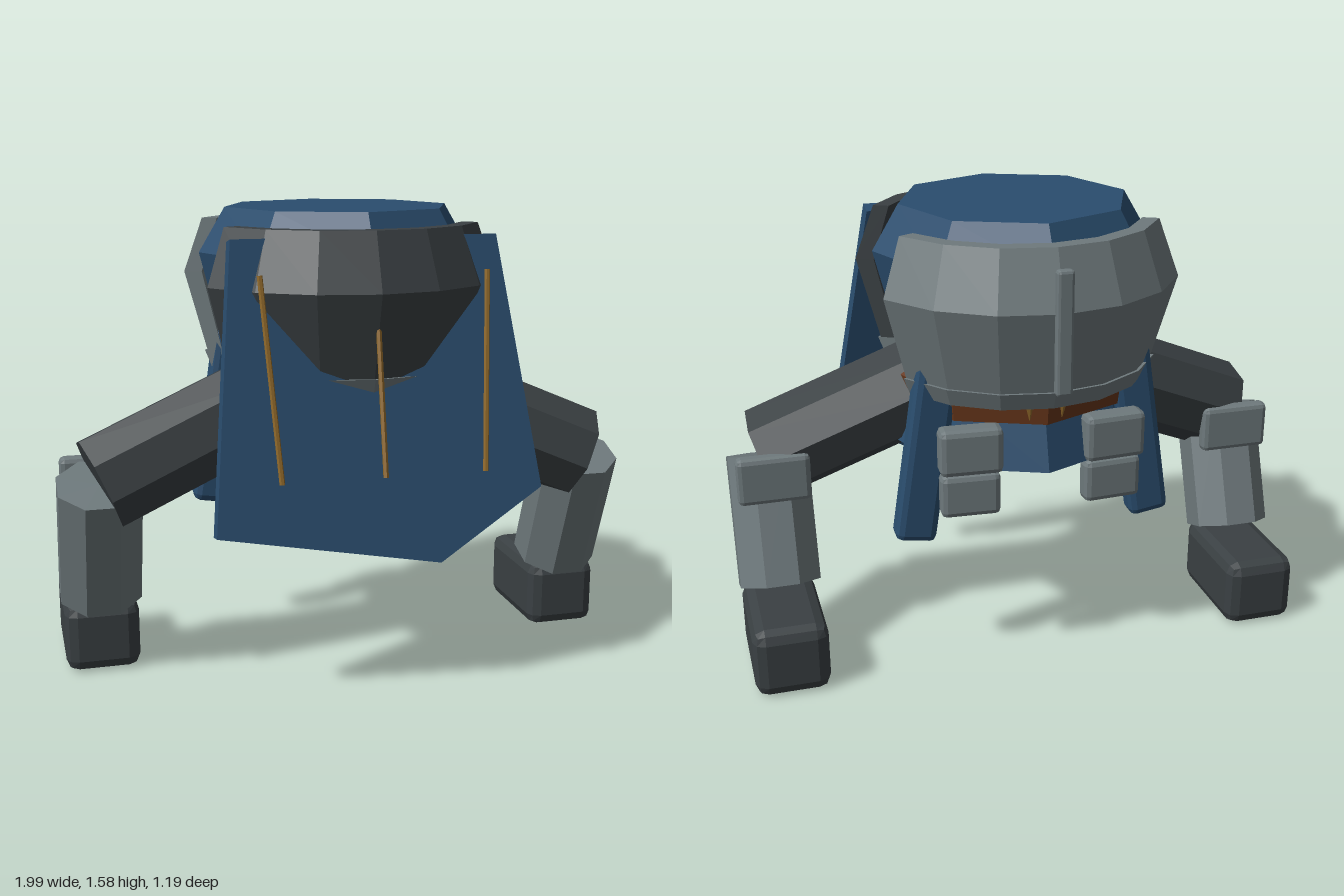
import * as THREE from 'three';
import { RoundedBoxGeometry } from 'three/addons/geometries/RoundedBoxGeometry.js';

const mat = (color) => new THREE.MeshStandardMaterial({ color, flatShading: true, side: THREE.DoubleSide });
const V = (x, y, z) => new THREE.Vector3(x, y, z);

export function createModel() {
  const root = new THREE.Group();
  const blue = mat(0x2a4d6e), dark = mat(0x3a4043), steel = mat(0x6e797c);
  const gold = mat(0x8f682a), brown = mat(0x66361a);
  const midZ = -0.02; // torso axis

  function add(name, geometry, material, x = 0, y = 0, z = 0, parent = root) {
    const mesh = new THREE.Mesh(geometry, material);
    mesh.name = name;
    mesh.position.set(x, y, z);
    parent.add(mesh);
    return mesh;
  }

  // Box with chamfered edges
  const chamferBox = (w, h, d, c) => new RoundedBoxGeometry(w, h, d, 1, c);

  // Straight faceted rod between two points
  function rod(name, a, b, radius, sides, material, phase = 0) {
    const dir = b.clone().sub(a);
    const geo = new THREE.CylinderGeometry(radius, radius, dir.length(), sides).rotateY(phase);
    const mesh = add(name, geo, material);
    mesh.position.copy(a).add(b).multiplyScalar(0.5);
    mesh.quaternion.setFromUnitVectors(V(0, 1, 0), dir.normalize());
    return mesh;
  }

  const lathe = (points, sides, start, length) =>
    new THREE.LatheGeometry(points.map(([r, y]) => new THREE.Vector2(r, y)), sides, start, length);

  // Curved plate: closed profile swept through an arc, with capped ends
  function plate(name, profile, facing, material) {
    const half = THREE.MathUtils.degToRad(63);
    const group = new THREE.Group();
    group.name = name;
    group.position.z = midZ;
    root.add(group);
    add(name + 'Shell', lathe([...profile, profile[0]], 6, facing - half, half * 2), material, 0, 0, 0, group);
    const section = new THREE.Shape(profile.map(([r, y]) => new THREE.Vector2(r, y)));
    for (const s of [-1, 1]) {
      const cap = new THREE.ShapeGeometry(section).rotateY(facing + s * half - Math.PI / 2);
      add(name + 'End', cap, material, 0, 0, 0, group);
    }
  }

  // Torso with flared skirt, and belt
  const torso = lathe([[0, 0.76], [0.425, 0.76], [0.365, 0.98], [0.48, 1.43], [0.39, 1.58], [0, 1.58]], 8);
  add('torso', torso, blue, 0, 0, midZ);
  const belt = lathe([[0.33, 0.9], [0.4, 0.92], [0.41, 1.0], [0.35, 1.04]], 8);
  add('belt', belt, brown, 0, 0, midZ);

  // Chest and back armour, each with a lower rim
  const shell = [[0.42, 1.06], [0.475, 1.06], [0.555, 1.34], [0.485, 1.53], [0.43, 1.53], [0.49, 1.34]];
  const rim = [[0.41, 1.0], [0.46, 1.0], [0.485, 1.06], [0.42, 1.06]];
  plate('chestPlate', shell, 0, dark);
  plate('chestRim', rim, 0, steel);
  plate('backPlate', shell, Math.PI, steel);
  plate('backRim', rim, Math.PI, steel);
  add('backBar', chamferBox(0.055, 0.4, 0.036, 0.01), steel, 0, 1.28, -0.575);

  // Slanted front apron
  const outline = [[-0.44, 1.5], [-0.53, 0.59], [0.2, 0.46], [0.56, 0.68], [0.44, 1.5]];
  const tilt = 0.196;
  const apronShape = new THREE.Shape(
    outline.map(([x, y]) => new THREE.Vector2(x, (y - 1.5) / Math.cos(tilt))));
  const apron = add('apron',
    new THREE.ExtrudeGeometry(apronShape, { depth: 0.066, bevelEnabled: false }), blue, 0, 1.49, 0.285);
  apron.rotation.x = -tilt;

  // Cords hanging in front of the apron
  for (const s of [-1, 1]) {
    rod('sideCord', V(s * 0.37, 1.4, 0.46), V(s * 0.333, 0.77, 0.587), 0.009, 6, gold);
  }
  rod('centreCord', V(0, 1.24, 0.492), V(0, 0.77, 0.587), 0.009, 6, gold);

  for (const s of [-1, 1]) {
    // Leg
    const knee = V(s * 0.855, 0.69, 0.14);
    rod('thigh', V(s * 0.3, 0.925, 0.07), knee, 0.168, 8, dark);
    rod('shin', knee, V(s * 0.855, 0.265, -0.02), 0.149, 8, steel, Math.PI / 8);
    add('kneeGuard', chamferBox(0.25, 0.17, 0.06, 0.018), steel, s * 0.85, 0.665, -0.025);
    add('foot', chamferBox(0.255, 0.245, 0.425, 0.042), dark, s * 0.857, 0.1225, -0.133);

    // Hanging strap at the hip
    const strap = add('hipStrap', chamferBox(0.14, 0.65, 0.095, 0.025), blue, s * 0.37, 0.815, -0.26);
    strap.rotation.z = s * 0.15;

    // Stacked belt pouches
    const pouches = new THREE.Group();
    pouches.name = 'pouches';
    pouches.position.set(s * 0.245, 0.76, -0.365);
    pouches.rotation.y = s * -0.06;
    root.add(pouches);
    add('upperPouch', chamferBox(0.21, 0.16, 0.085, 0.02), steel, 0, 0.08, 0, pouches);
    add('lowerPouch', chamferBox(0.2, 0.15, 0.075, 0.02), steel, 0, -0.08, 0.015, pouches);

    // Small pendant under the back rim
    const pendant = new THREE.ConeGeometry(0.022, 0.08, 6).rotateX(Math.PI);
    add('pendant', pendant, gold, s * 0.055, 0.97, -0.4);
  }
  return root;
}
